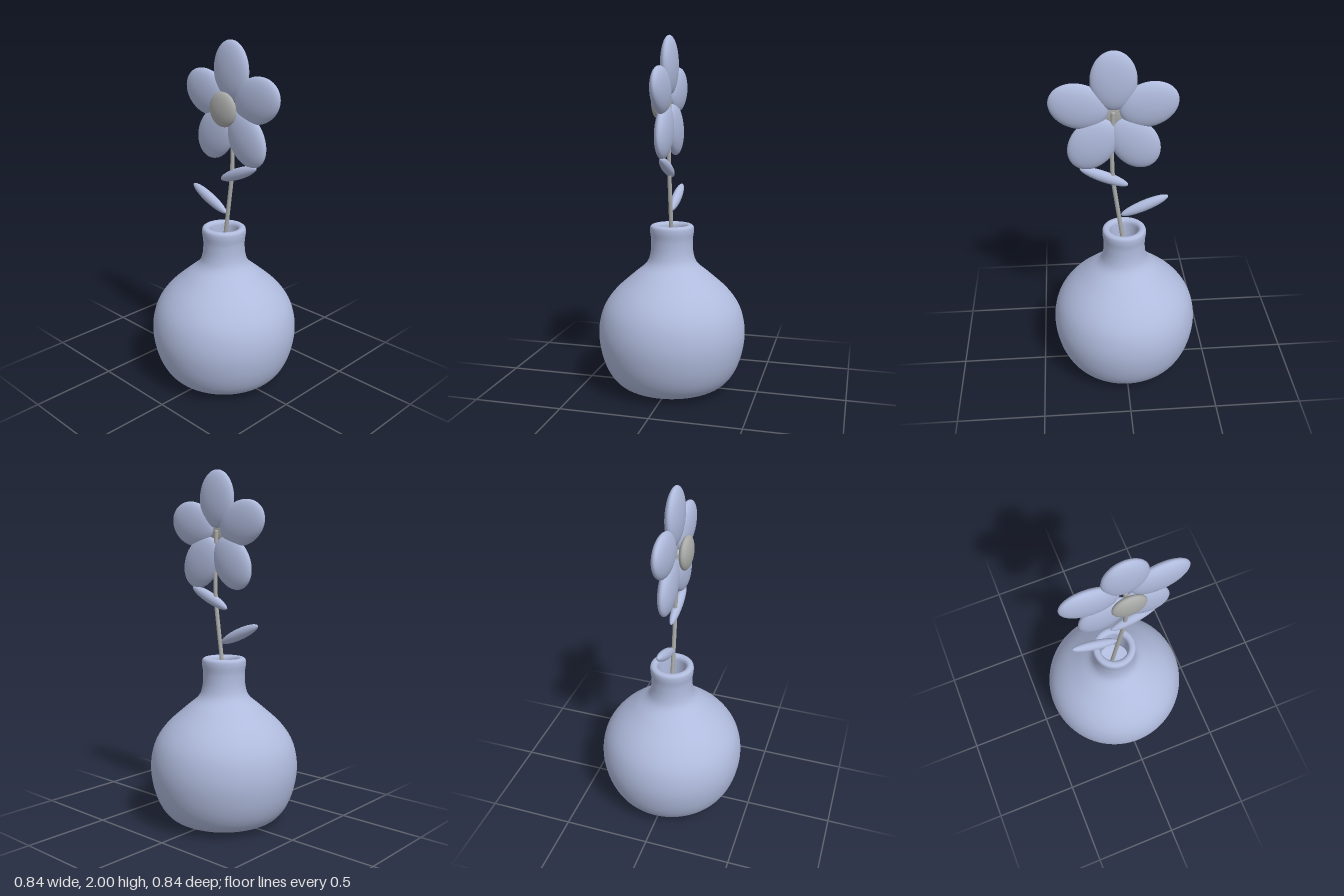
import * as THREE from 'three';

export function createModel() {
  const model = new THREE.Group();
  const blue = new THREE.MeshStandardMaterial({ color: 0xb0bbdd });
  blue.name = 'pale blue';
  const grey = new THREE.MeshStandardMaterial({ color: 0xa9aba9 });
  grey.name = 'warm grey';

  const add = (name, geometry, material) => {
    const mesh = new THREE.Mesh(geometry, material);
    mesh.name = name;
    model.add(mesh);
    return mesh;
  };

  // Flattened ball, half-sizes a (long axis), b and c (depth), turned about z
  const ball = new THREE.SphereGeometry(1, 48, 32);
  const ellipsoid = (name, material, [a, b, c], [x, y, z], angle) => {
    const mesh = add(name, ball, material);
    mesh.scale.set(a, b, c);
    mesh.position.set(x, y, z);
    mesh.rotation.z = angle;
    return mesh;
  };

  // Hollow vase: up the outside, over the rounded lip, down the inside
  const profile = [
    [0, 0], [0.1, 0], [0.19, 0], [0.25, 0.01], [0.315, 0.04], [0.365, 0.1],
    [0.402, 0.19], [0.421, 0.3], [0.414, 0.4], [0.383, 0.49], [0.32, 0.575],
    [0.22, 0.665], [0.148, 0.727], [0.124, 0.785], [0.119, 0.86],
    [0.125, 0.915], [0.122, 0.944], [0.104, 0.953], [0.086, 0.944],
    [0.08, 0.91], [0.08, 0.78], [0.11, 0.7], [0.19, 0.635], [0.28, 0.55],
    [0.345, 0.46], [0.375, 0.3], [0.34, 0.14], [0.25, 0.06], [0.1, 0.045], [0, 0.045],
  ].map(([r, y]) => new THREE.Vector2(r, y));
  const outline = new THREE.SplineCurve(profile).getPoints(150)
    .map((p) => new THREE.Vector2(Math.max(0, p.x), Math.max(0, p.y)));
  add('vase', new THREE.LatheGeometry(outline, 96), blue);

  // Gently bent stem, closed at the top
  const stemPath = new THREE.CatmullRomCurve3([
    [-0.03, 0.6], [0.018, 0.95], [0.042, 1.12], [0.061, 1.27], [0.066, 1.42], [0.058, 1.66],
  ].map(([x, y]) => new THREE.Vector3(x, y, 0)));
  add('stem', new THREE.TubeGeometry(stemPath, 48, 0.012, 12), grey);
  ellipsoid('stemTip', grey, [0.012, 0.008, 0.012], [0.058, 1.66, 0], 0);

  // Two leaves
  const tilt = THREE.MathUtils.degToRad(23.5);
  ellipsoid('lowerLeaf', blue, [0.144, 0.032, 0.027], [-0.115, 1.094, 0], -tilt);
  ellipsoid('upperLeaf', blue, [0.144, 0.032, 0.027], [0.11, 1.287, 0], tilt);

  // Five petals around the flower centre
  const cx = 0.054, cy = 1.645, reach = 0.195;
  for (let i = 0; i < 5; i++) {
    const angle = Math.PI / 2 + (i * Math.PI * 2) / 5;
    ellipsoid('petal' + (i + 1), blue, [0.16, 0.123, 0.043],
      [cx + reach * Math.cos(angle), cy + reach * Math.sin(angle), 0], angle);
  }
  ellipsoid('flowerCentre', grey, [0.094, 0.094, 0.033], [cx, 1.642, 0.063], 0);

  return model;
}
